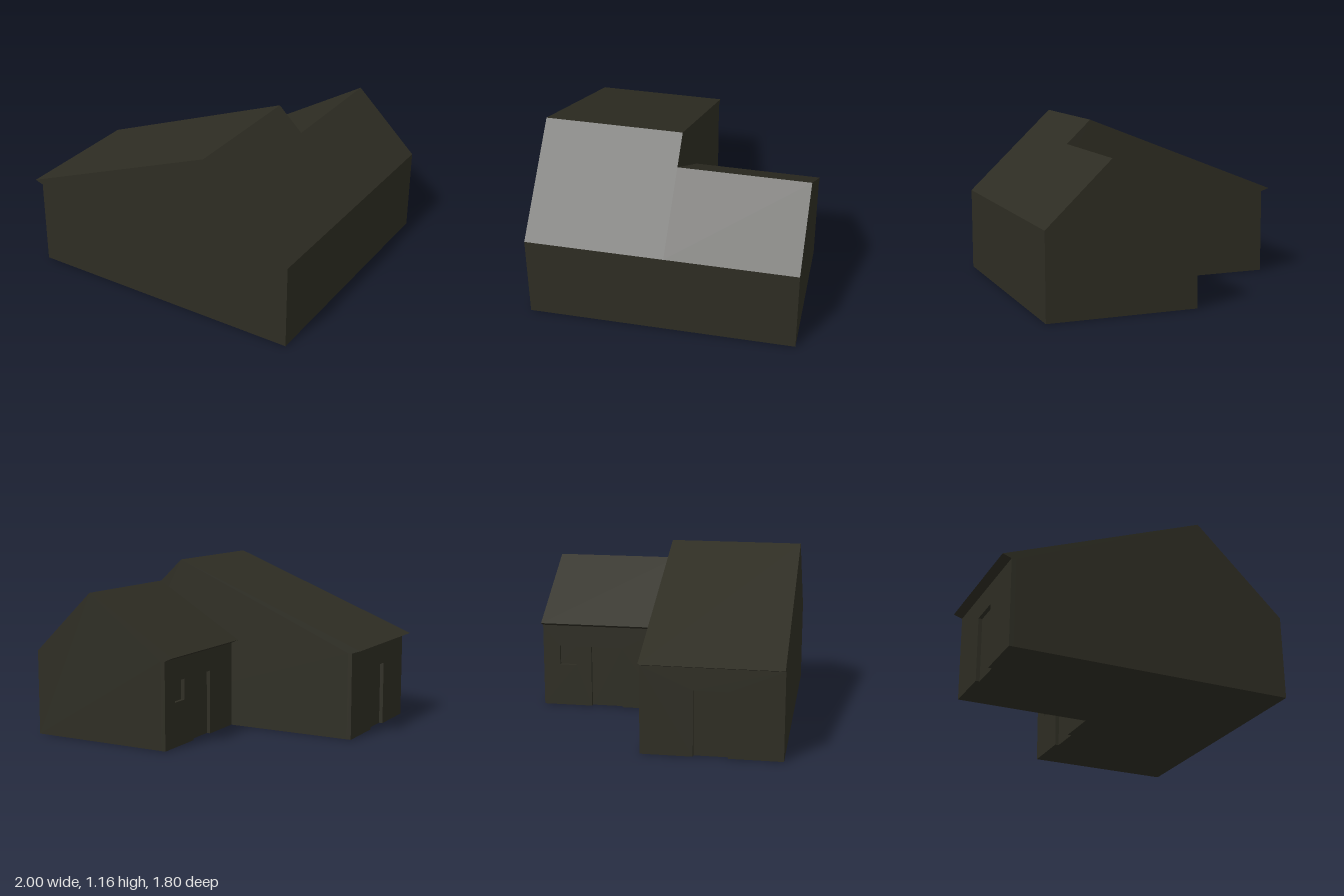
import * as THREE from 'three';

const RECESS = 0.03; // depth of the door and window reveals

export function createModel() {
  const house = new THREE.Group();
  house.name = 'house';
  const olive = new THREE.MeshStandardMaterial({ color: 0x2e2d23 });
  olive.name = 'darkOlive';

  const add = (parent, name, geometry) => {
    const mesh = new THREE.Mesh(geometry, olive);
    mesh.name = name;
    parent.add(mesh);
  };
  const toShape = pts => new THREE.Shape(pts.map(([x, y]) => new THREE.Vector2(x, y)));
  const extrude = (shape, depth) => new THREE.ExtrudeGeometry(shape, { depth, bevelEnabled: false });

  function wing({ name, z0, z1, wall, eave, ridge, door, window }) {
    const group = new THREE.Group();
    group.name = name;
    const inner = wall + RECESS;

    // Gabled body with the overhanging left eave, running along z
    const profile = toShape([
      [inner, 0], [1, 0], [1, 0.58], ridge, eave, [wall, 0.59], [inner, 0.59],
    ]);
    add(group, 'gabledBody', extrude(profile, z1 - z0).translate(0, 0, z0));

    // Entrance wall: the doorway is cut to the ground, the window is a hole
    const [d0, d1, doorTop] = door;
    const face = toShape([
      [z0, 0], [d0, 0], [d0, doorTop], [d1, doorTop], [d1, 0], [z1, 0], [z1, 0.59], [z0, 0.59],
    ]);
    if (window) {
      const [w0, w1, y0, y1] = window;
      face.holes.push(toShape([[w0, y0], [w0, y1], [w1, y1], [w1, y0]]));
      add(group, 'windowPane', new THREE.BoxGeometry(0.004, y1 - y0, w1 - w0)
        .translate(inner - 0.002, (y0 + y1) / 2, (w0 + w1) / 2));
    }
    add(group, 'entranceWall', extrude(face, RECESS).rotateY(-Math.PI / 2).translate(inner, 0, 0));
    add(group, 'doorLeaf', new THREE.BoxGeometry(0.004, doorTop, d1 - d0)
      .translate(inner - 0.002, doorTop / 2, (d0 + d1) / 2));
    house.add(group);
  }

  wing({
    name: 'frontWing', z0: -0.025, z1: 0.9, wall: -0.94,
    eave: [-1, 0.61], ridge: [0.39, 1.16], door: [0.32, 0.545, 0.44],
  });
  wing({
    name: 'rearWing', z0: -0.9, z1: -0.025, wall: -0.02,
    eave: [-0.075, 0.615], ridge: [0.56, 1.0], door: [-0.55, -0.325, 0.44],
    window: [-0.78, -0.66, 0.3, 0.44],
  });
  return house;
}
